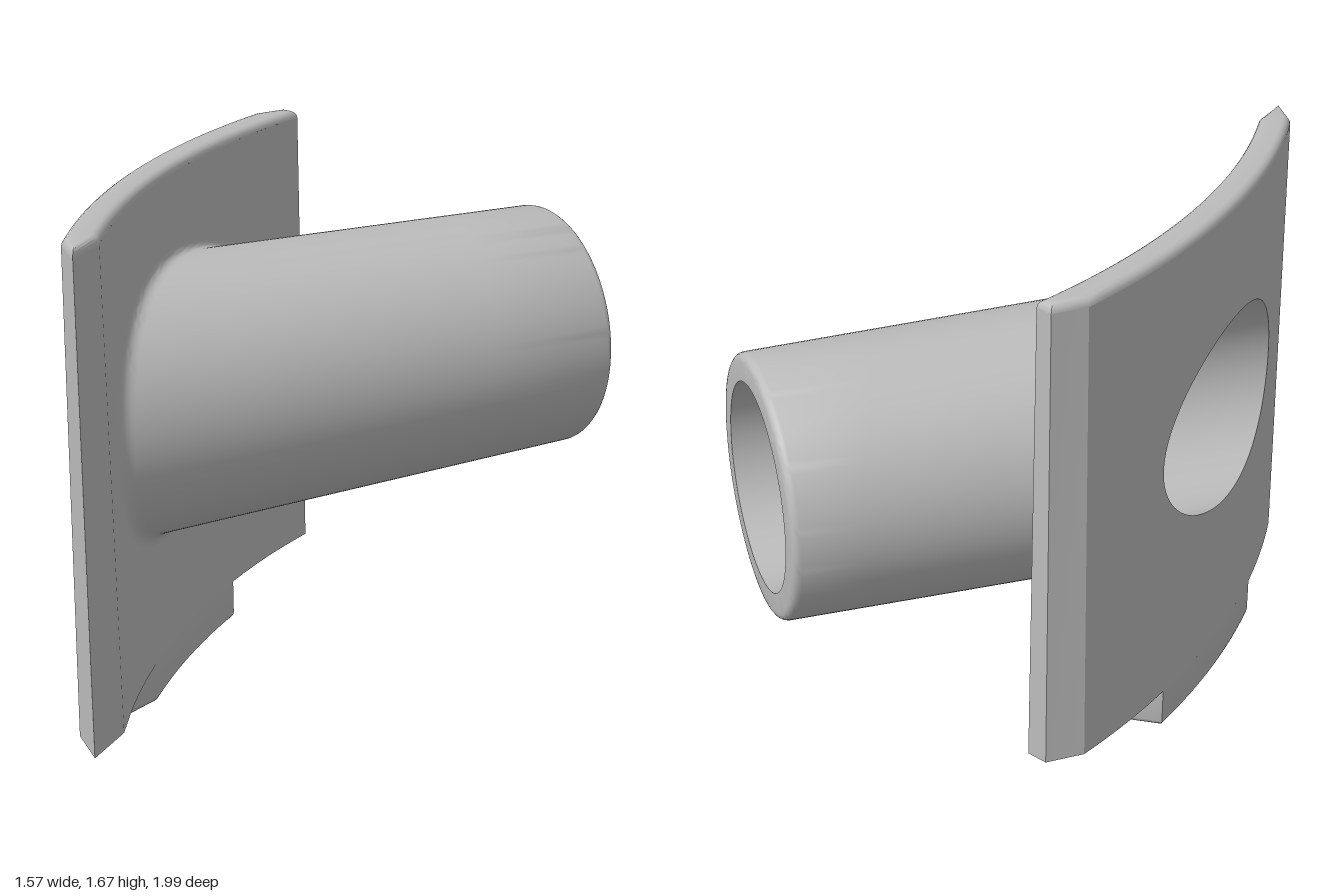
import * as THREE from 'three';
import { mergeGeometries, mergeVertices, toCreasedNormals } from 'three/addons/utils/BufferGeometryUtils.js';

const N = 120;                       // columns around the spout
const BOTTOM = 0.135, TOP = 1.675, ROUND = 0.025;
const V = (x, y, z) => new THREE.Vector3(x, y, z);

// Curved plate faces: x as a function of z, with a slight draft in y
const arc = (R, x0, z) => x0 + R - Math.sqrt(R * R - (z - 0.75) ** 2);
const outerX = (z, y) => arc(2.9, -0.785, z) + 0.009 * (y - 0.9);
const innerX = (z, y) => arc(2.785, -0.67, z) - 0.009 * (y - 0.9);

// Surface through a list of rings with equal point counts
function loft(rings, closed) {
  const n = rings[0].length, index = [];
  for (let i = 0; i + 1 < rings.length; i++) {
    for (let j = 0; j < (closed ? n : n - 1); j++) {
      const k = (j + 1) % n, a = i * n + j, b = i * n + k;
      index.push(a, b, b + n, a, b + n, a + n);
    }
  }
  const g = new THREE.BufferGeometry().setFromPoints(rings.flat());
  g.setIndex(index);
  return g;
}

// Flat lid over an outline of [x, z] points
function cap(pts, y, up) {
  const s = new THREE.Shape(pts.map(([x, z]) => new THREE.Vector2(x, up ? -z : z)));
  const g = new THREE.ShapeGeometry(s);
  g.rotateX(up ? -Math.PI / 2 : Math.PI / 2).translate(0, y, 0);
  g.deleteAttribute('normal');
  g.deleteAttribute('uv');
  return g;
}

// Move an outline inward by d
function inset(pts, d) {
  const n = pts.length;
  const normal = (p, q) => {
    const dx = q[0] - p[0], dz = q[1] - p[1], l = Math.hypot(dx, dz);
    return [dz / l, -dx / l];
  };
  return pts.map((p, i) => {
    const a = normal(pts[(i + n - 1) % n], p), b = normal(p, pts[(i + 1) % n]);
    const mx = a[0] + b[0], mz = a[1] + b[1], l = Math.hypot(mx, mz);
    const k = d * Math.min(2 / l, 1.5) / l;
    return [p[0] + mx * k, p[1] + mz * k];
  });
}

const lift = (pts, y) => pts.map(([x, z]) => V(x, y, z));
const finish = (list, angle = 0.6) => toCreasedNormals(mergeVertices(mergeGeometries(list), 1e-5), angle);

// Points along one face from z0 to z1
const run = (f, y, z0, z1, n) => Array.from({ length: n + 1 }, (_, i) => {
  const z = z0 + (z1 - z0) * i / n;
  return [f(z, y), z];
});

const OUT = [-0.635, 0.87], INN = [-0.672, 0.84];
const plateOutline = (y) => [
  ...run(outerX, y, OUT[0], OUT[1], 30), [-0.72, 1 - 0.008 * (y - BOTTOM)],
  ...run(innerX, y, INN[1], INN[0], 30), [-0.335, -0.705],
];
const tabOutline = (y) => [
  ...run(outerX, y, -0.25, 0.47, 16), [-0.71, 0.485],
  ...run(innerX, y, 0.38, -0.25, 16),
];

// Point on the spout: angle a, radius r, distance t back from the mouth
function spoutPoint(a, r, t) {
  const s = r * Math.sin(a);
  return V(0.562 + 0.552 * s - 0.834 * t, 0.955 + r * Math.cos(a), -0.665 + 0.834 * s + 0.552 * t);
}
const wall = (t) => 0.405 + 0.0185 * t;
const BORE = 0.32;

// Distance t where a line along the spout reaches a plate face
function reach(a, radius, face) {
  let lo = 0.2, hi = 2.6;
  for (let i = 0; i < 40; i++) {
    const t = (lo + hi) / 2, p = spoutPoint(a, radius(t), t);
    if (p.x > face(p.z, p.y)) lo = t; else hi = t;
  }
  return lo;
}
const angles = Array.from({ length: N }, (_, i) => i / N * Math.PI * 2);

// Rings that spread from a hole in a plate face to its rectangular border
function holedFace(hole, face, [z0, z1], y0, y1, steps) {
  const zs = hole.map((p) => p.z);
  const zc = (Math.min(...zs) + Math.max(...zs)) / 2, yc = 0.955;
  const border = hole.map((p) => {
    const dz = p.z - zc, dy = p.y - yc;
    const k = Math.min(dz > 0 ? (z1 - zc) / dz : dz < 0 ? (z0 - zc) / dz : 1e9,
      dy > 0 ? (y1 - yc) / dy : dy < 0 ? (y0 - yc) / dy : 1e9);
    return [zc + dz * k, yc + dy * k];
  });
  for (const z of [z0, z1]) for (const y of [y0, y1]) {
    let best = 0;
    const dist = (b) => Math.hypot(b[0] - z, b[1] - y);
    border.forEach((b, i) => { if (dist(b) < dist(border[best])) best = i; });
    border[best] = [z, y];
  }
  return Array.from({ length: steps + 1 }, (_, i) => hole.map((p, j) => {
    const t = i / steps;
    const z = p.z + (border[j][0] - p.z) * t, y = p.y + (border[j][1] - p.y) * t;
    return V(face(z, y), y, z);
  }));
}

export function createModel() {
  const group = new THREE.Group();
  const grey = new THREE.MeshStandardMaterial({ color: 0xbcbcbc, side: THREE.DoubleSide });
  grey.name = 'light grey';
  const add = (name, geometry) => {
    const mesh = new THREE.Mesh(geometry, grey);
    mesh.name = name;
    group.add(mesh);
  };

  // Spout: fillet at the plate, tapered wall, rounded lip, bore
  const columns = angles.map((a) => {
    const rim = (t) => wall(t) + 0.03;
    const t0 = reach(a, wall, innerX), tr = reach(a, rim, innerX);
    const start = spoutPoint(a, rim(tr), tr);
    const corner = spoutPoint(a, wall(t0), t0);
    const te = t0 - 0.045, end = spoutPoint(a, wall(te), te);
    const fillet = new THREE.QuadraticBezierCurve3(start, corner, end).getPoints(7);
    const back = reach(a, () => BORE, outerX);
    const col = [...fillet];
    for (let i = 1; i <= 4; i++) {
      const t = te + (0.025 - te) * i / 4;
      col.push(spoutPoint(a, wall(t), t));
    }
    for (let i = 1; i <= 4; i++) {
      const q = i / 4 * Math.PI / 2;
      col.push(spoutPoint(a, wall(0) - 0.025 * (1 - Math.cos(q)), 0.025 * (1 - Math.sin(q))));
    }
    for (let i = 0; i <= 4; i++) col.push(spoutPoint(a, BORE, back * i / 4));
    return col;
  });
  const rings = columns[0].map((_, i) => columns.map((c) => c[i]));
  add('spout', finish([loft(rings, true)]));

  // Plate faces around the spout and the bore
  const yEdge = TOP - ROUND;
  const front = holedFace(rings[0], innerX, INN, BOTTOM, yEdge, 16).reverse();
  const rear = holedFace(rings[rings.length - 1], outerX, OUT, BOTTOM, yEdge, 16);
  add('plateSpoutFace', finish([loft(front, true)]));
  add('plateRearFace', finish([loft(rear, true)]));

  // Bevelled plate ends
  const low = lift(plateOutline(BOTTOM), BOTTOM), high = lift(plateOutline(yEdge), yEdge);
  const pick = (ring, ids) => ids.map((i) => ring[i]);
  const last = low.length - 1;
  const ends = [[30, 31, 32], [last - 1, last, 0]].map((ids) => loft([pick(low, ids), pick(high, ids)], false));
  add('plateEnds', finish(ends, 0.4));

  // Rounded top edge and flat underside
  const roundRings = [], edge = plateOutline(yEdge);
  for (let i = 0; i <= 4; i++) {
    const q = i / 4 * Math.PI / 2;
    roundRings.push(lift(inset(edge, ROUND * (1 - Math.cos(q))), yEdge + ROUND * Math.sin(q)));
  }
  add('plateTop', finish([loft(roundRings, true), cap(inset(edge, ROUND), TOP, true)]));
  add('plateUnderside', finish([cap(plateOutline(BOTTOM), BOTTOM, false)]));

  // Locating tab under the plate
  const tabRings = [], tab = tabOutline(BOTTOM), r = 0.018;
  for (let i = 3; i >= 0; i--) {
    const q = i / 3 * Math.PI / 2;
    tabRings.push(lift(inset(tab, r * (1 - Math.cos(q))), r * (1 - Math.sin(q))));
  }
  tabRings.push(lift(tab, BOTTOM + 0.005));
  add('tab', finish([loft(tabRings, true), cap(inset(tab, r), 0, false)]));

  return group;
}
